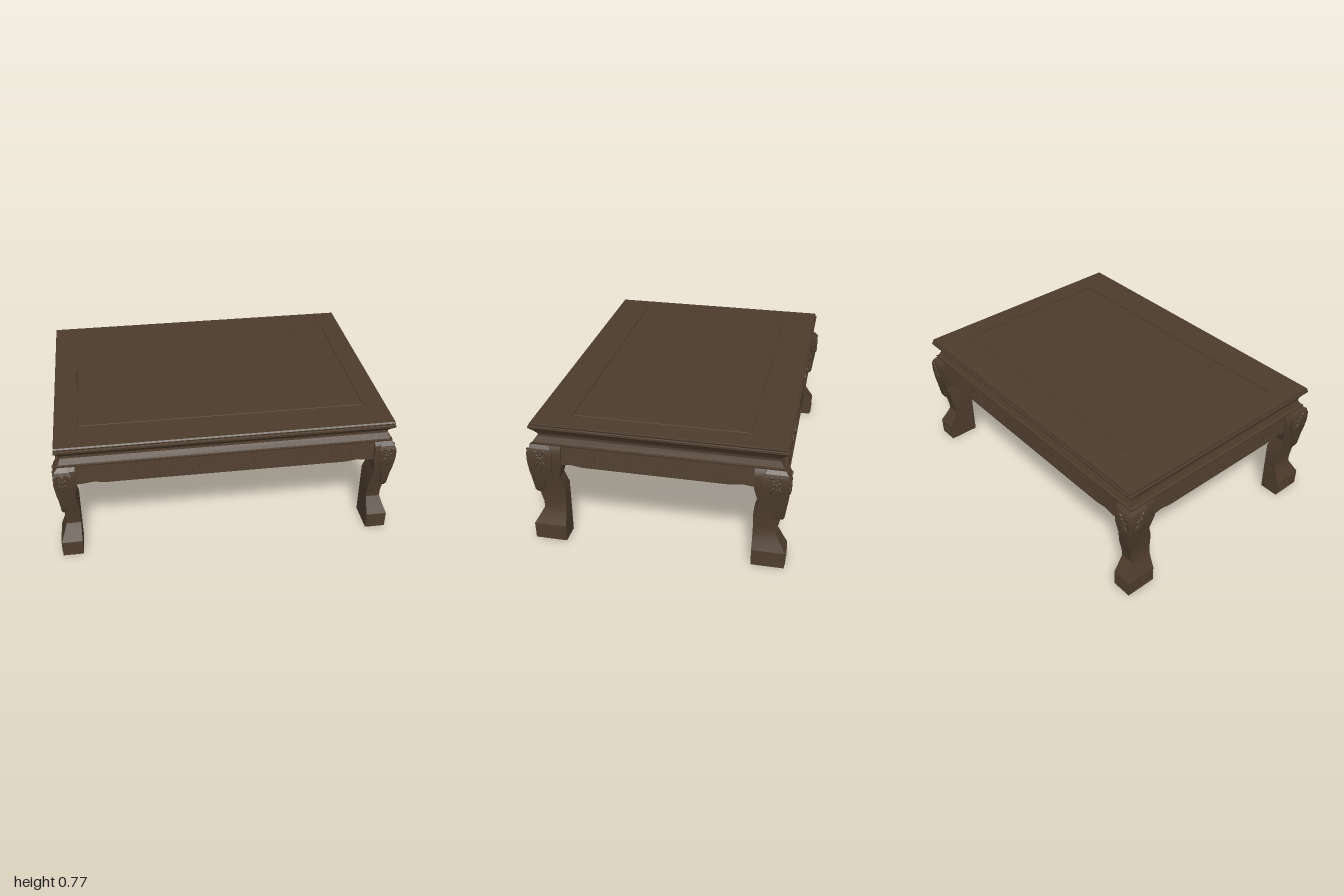
import * as THREE from 'three';
import { mergeGeometries, toCreasedNormals } from 'three/addons/utils/BufferGeometryUtils.js';

const wood = new THREE.MeshStandardMaterial({ color: 0x4d3c2d });
wood.name = 'dark brown wood';

function addMesh(parent, name, geometry) {
  const mesh = new THREE.Mesh(geometry, wood);
  mesh.name = name;
  parent.add(mesh);
  return mesh;
}

// Skin through rectangular rings [y, x0, x1, z0, z1], listed from the bottom up, with end caps.
function loft(rings, crease = 0.35) {
  const corners = rings.map(([y, x0, x1, z0, z1]) => [[x0, y, z1], [x1, y, z1], [x1, y, z0], [x0, y, z0]]);
  const out = [];
  const quad = (a, b, c, d) => out.push(...a, ...b, ...c, ...a, ...c, ...d);
  for (let i = 0; i + 1 < corners.length; i++) {
    for (let k = 0; k < 4; k++) {
      const n = (k + 1) % 4;
      quad(corners[i][k], corners[i][n], corners[i + 1][n], corners[i + 1][k]);
    }
  }
  const [a, b, c, d] = corners[0];
  quad(d, c, b, a);
  quad(...corners[corners.length - 1]);
  const g = new THREE.BufferGeometry();
  g.setAttribute('position', new THREE.Float32BufferAttribute(out, 3));
  return toCreasedNormals(g, crease);
}

// Raised line work in the XY plane: each stroke is a polyline of square strips.
function relief(strokes, width, depth) {
  const parts = [];
  for (const pts of strokes) {
    for (let i = 0; i + 1 < pts.length; i++) {
      const [x0, y0] = pts[i], [x1, y1] = pts[i + 1];
      const g = new THREE.BoxGeometry(Math.hypot(x1 - x0, y1 - y0) + width * 0.9, width, depth);
      g.rotateZ(Math.atan2(y1 - y0, x1 - x0));
      g.translate((x0 + x1) / 2, (y0 + y1) / 2, 0);
      parts.push(g);
    }
  }
  return mergeGeometries(parts);
}

// Fret panel: framed cartouche with a central diamond, angular hooks and curls.
function fretStrokes(w, h, cut) {
  const strokes = [[[-w + cut, h], [w - cut, h], [w, h - cut], [w, cut - h], [w - cut, -h], [cut - w, -h],
    [-w, cut - h], [-w, h - cut], [-w + cut, h]]];
  strokes.push([[-0.028, 0], [0, 0.018], [0.028, 0], [0, -0.018], [-0.028, 0]]);
  for (const s of [-1, 1]) {
    strokes.push([[s * 0.03, 0], [s * 0.06, 0.02], [s * 0.1, 0.018], [s * 0.115, 0], [s * 0.09, -0.008]]);
    strokes.push([[s * 0.02, -0.022], [s * 0.07, -0.016], [s * 0.1, -0.024], [s * 0.15, -0.02]]);
    strokes.push([[s * 0.12, 0.022], [s * 0.2, 0.022], [s * 0.2, -0.004], [s * 0.16, -0.004]]);
    strokes.push([[s * 0.16, -0.022], [s * (w - 0.05), -0.022], [s * (w - 0.05), 0.02], [s * (w - 0.085), 0.02]]);
  }
  return strokes;
}

// Apron rail facing +z, leaning outwards towards its cusped lower edge.
function apronGeometry(half, inner, outer) {
  const s = new THREE.Shape();
  s.moveTo(-half, 0.64);
  const under = [[0, 0.51], [0.07, 0.515], [0.13, 0.522], [0.2, 0.513]];
  under.forEach(([dx, y]) => s.lineTo(-half + dx, y));
  under.reverse().forEach(([dx, y]) => s.lineTo(half - dx, y));
  s.lineTo(half, 0.64);
  const g = new THREE.ExtrudeGeometry(s, { depth: outer - inner, bevelEnabled: false });
  const p = g.attributes.position;
  for (let i = 0; i < p.count; i++) {
    const lean = p.getZ(i) > 0.001 ? (0.64 - p.getY(i)) * 0.14 : 0;
    p.setZ(i, p.getZ(i) + inner + lean);
  }
  g.computeVertexNormals();
  return g;
}

// Small flower and leaves carved on a knee, facing +z.
function kneeCarving() {
  const parts = [];
  const lobe = (x, y, rx, ry, turn) => {
    const g = new THREE.SphereGeometry(1, 10, 6);
    g.scale(rx, ry, 0.007);
    g.rotateZ(turn);
    g.translate(x, y, 0);
    parts.push(g);
  };
  for (let i = 0; i < 5; i++) {
    const a = i * Math.PI * 0.4;
    lobe(Math.cos(a) * 0.016, Math.sin(a) * 0.016, 0.012, 0.008, a);
  }
  lobe(0, 0, 0.007, 0.007, 0);
  for (const s of [-1, 1]) {
    lobe(s * 0.022, -0.045, 0.009, 0.024, s * 0.5);
    lobe(s * 0.024, 0.034, 0.016, 0.008, s * 0.5);
  }
  lobe(0, -0.055, 0.008, 0.026, 0);
  return mergeGeometries(parts);
}

function addLeg(table, sx, sz) {
  const leg = new THREE.Group();
  leg.name = (sz > 0 ? 'front' : 'back') + (sx > 0 ? 'Left' : 'Right') + 'Leg';
  table.add(leg);
  const ring = ([y, xo, zo, xi, zi]) => [y, ...[sx * xi, sx * xo].sort((a, b) => a - b),
    ...[sz * zi, sz * zo].sort((a, b) => a - b)];

  // Cabriole leg: height, outer x, outer z, inner x, inner z
  addMesh(leg, 'legPost', loft([
    [0, 0.992, 0.733, 0.87, 0.545], [0.1, 0.992, 0.735, 0.87, 0.545], [0.15, 0.972, 0.705, 0.87, 0.545],
    [0.2, 0.955, 0.677, 0.87, 0.545], [0.24, 0.953, 0.68, 0.87, 0.545], [0.34, 0.96, 0.702, 0.87, 0.545],
    [0.42, 0.97, 0.718, 0.885, 0.568], [0.51, 0.985, 0.732, 0.87, 0.545], [0.58, 0.987, 0.732, 0.87, 0.545],
    [0.61, 0.98, 0.724, 0.87, 0.545], [0.64, 0.962, 0.7, 0.87, 0.545],
  ].map(ring)));

  // Leaf wrapped around the outer corner of the knee, narrowing to a tip
  addMesh(leg, 'kneeLeaf', loft([
    [0.31, 0.962, 0.708, 0.945, 0.675], [0.33, 0.97, 0.718, 0.935, 0.66], [0.42, 0.98, 0.73, 0.925, 0.65],
    [0.46, 0.988, 0.736, 0.91, 0.61], [0.53, 0.997, 0.741, 0.9, 0.595], [0.585, 0.996, 0.741, 0.895, 0.59],
    [0.61, 0.987, 0.73, 0.9, 0.6], [0.635, 0.966, 0.704, 0.91, 0.62],
  ].map(ring)));

  const onFront = addMesh(leg, 'frontKneeCarving', kneeCarving());
  onFront.position.set(sx * 0.947, 0.56, sz * 0.74);
  onFront.rotation.y = sz > 0 ? 0 : Math.PI;
  const onSide = addMesh(leg, 'sideKneeCarving', kneeCarving());
  onSide.position.set(sx * 0.995, 0.56, sz * 0.665);
  onSide.rotation.y = sx * Math.PI / 2;

  // Framed squiggle on the outer faces of the foot
  const foot = (w) => relief([
    [[-w, -0.038], [w, -0.038], [w, 0.038], [-w, 0.038], [-w, -0.038]],
    [[-w * 0.6, -0.012], [-w * 0.3, 0.008], [0, -0.004], [w * 0.3, 0.012], [w * 0.6, 0]],
  ], 0.005, 0.006);
  const f = addMesh(leg, 'frontFootPanel', foot(0.048));
  f.position.set(sx * 0.931, 0.052, sz * 0.734);
  const s = addMesh(leg, 'sideFootPanel', foot(0.078));
  s.position.set(sx * 0.992, 0.052, sz * 0.639);
  s.rotation.y = sx * Math.PI / 2;
}

export function createModel() {
  const table = new THREE.Group();
  table.name = 'lowTable';

  // Moulded waist and top with a grooved centre panel: height, half width, half depth
  addMesh(table, 'tableTop', loft([
    [0.63, 0.972, 0.708], [0.64, 0.974, 0.71], [0.643, 0.962, 0.7], [0.675, 0.95, 0.682], [0.69, 0.95, 0.68],
    [0.71, 0.962, 0.698], [0.725, 0.972, 0.715], [0.733, 0.98, 0.724], [0.745, 0.98, 0.724], [0.748, 0.974, 0.716],
    [0.758, 0.978, 0.718], [0.766, 0.976, 0.712], [0.766, 0.845, 0.508], [0.76, 0.845, 0.508],
    [0.76, 0.84, 0.503], [0.765, 0.838, 0.501],
  ].map(([y, x, z]) => [y, -x, x, -z, z])));

  // Four aprons with carved fret panels
  for (const [name, turn, half, inner, outer, centres, w, cut] of [
    ['front', 0, 0.9, 0.615, 0.7, [-0.42, 0.42], 0.31, 0.008],
    ['back', Math.PI, 0.9, 0.615, 0.7, [-0.42, 0.42], 0.31, 0.008],
    ['left', Math.PI / 2, 0.62, 0.89, 0.962, [0], 0.4, 0.028],
    ['right', -Math.PI / 2, 0.62, 0.89, 0.962, [0], 0.4, 0.028],
  ]) {
    const side = new THREE.Group();
    side.name = name + 'Side';
    side.rotation.y = turn;
    table.add(side);
    addMesh(side, 'apron', apronGeometry(half, inner, outer));
    for (const x of centres) {
      const fret = addMesh(side, 'fretPanel', relief(fretStrokes(w, 0.041, cut), 0.007, 0.009));
      fret.position.set(x, 0.577, outer + 0.009);
      fret.rotation.x = -0.139;
    }
  }

  for (const sx of [-1, 1]) for (const sz of [-1, 1]) addLeg(table, sx, sz);
  return table;
}
